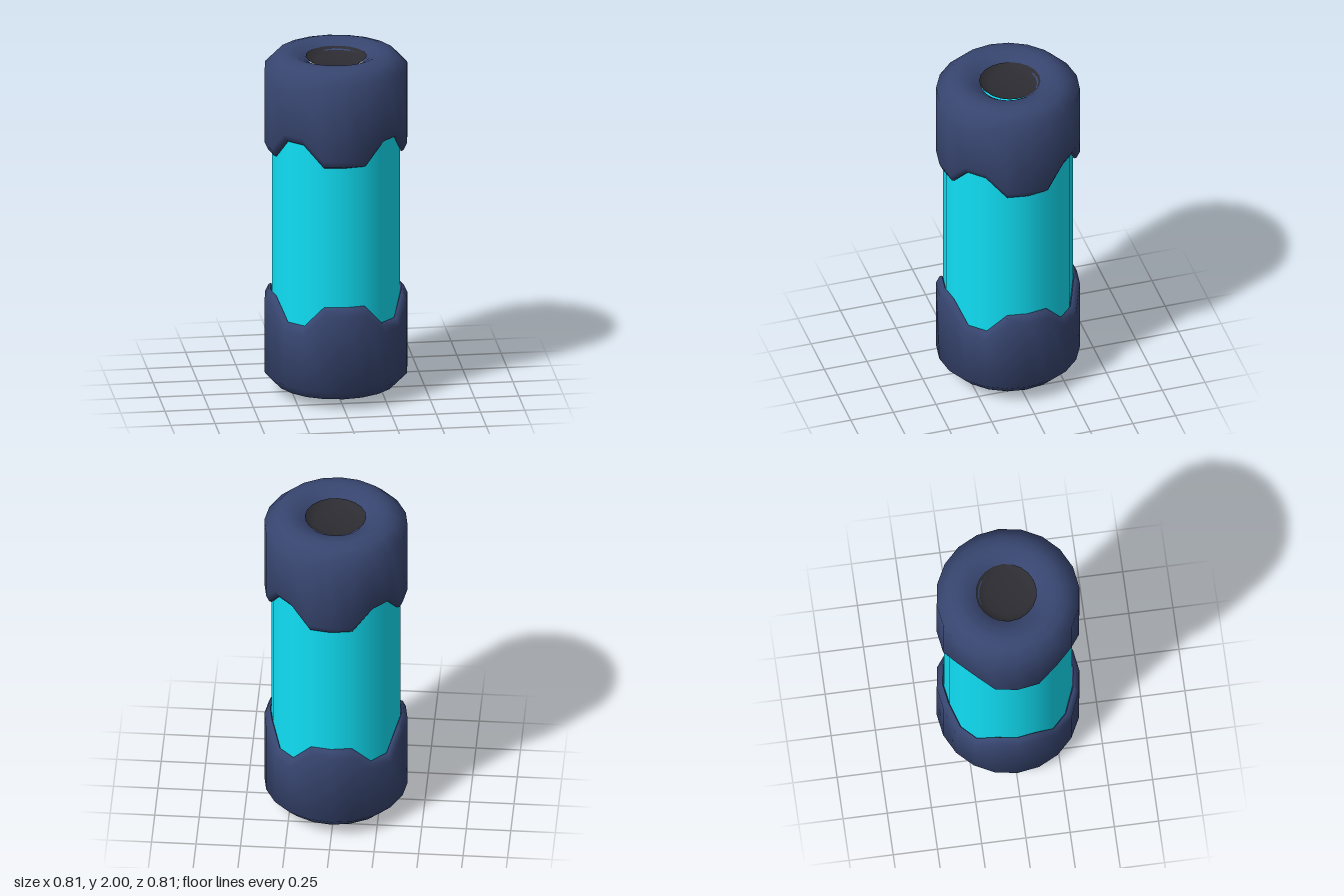
import * as THREE from 'three';
import { mergeVertices, toCreasedNormals } from 'three/addons/utils/BufferGeometryUtils.js';

const SIDES = 20;
const MID = 1.02; // height of the mirror plane between the two caps

const navy = new THREE.MeshStandardMaterial({ color: 0x37456f });
const cyan = new THREE.MeshStandardMaterial({ color: 0x10dff5 });
const dark = new THREE.MeshStandardMaterial({ color: 0x2c2c32 });

// Turned shape with smooth normals and an optional per-vertex rule
function turned(profile, rule) {
  const points = profile.map(([r, y]) => new THREE.Vector2(r, y));
  let geo = new THREE.LatheGeometry(points, SIDES);
  if (rule) {
    const pos = geo.attributes.position;
    for (let i = 0; i < pos.count; i++) {
      const row = i % profile.length;
      const side = Math.floor(i / profile.length);
      pos.setY(i, pos.getY(i) + rule(row, side));
    }
  }
  geo.deleteAttribute('normal');
  geo.deleteAttribute('uv');
  geo = mergeVertices(geo, 1e-4);
  return toCreasedNormals(geo, 1.0);
}

function addMesh(parent, name, geo, material) {
  const mesh = new THREE.Mesh(geo, material);
  mesh.name = name;
  parent.add(mesh);
  return mesh;
}

export function createModel() {
  const model = new THREE.Group();
  model.name = 'canister';

  // Glowing middle tube
  const tube = addMesh(model, 'tube', new THREE.CylinderGeometry(0.363, 0.363, 1.3, SIDES), cyan);
  tube.position.y = MID;

  // Cap: bevelled lip, straight wall, rounded shoulder, dished end
  const capProfile = [
    [0.355, 0.45], [0.37, 0.412], [0.385, 0.42], [0.403, 0.46],
    [0.403, 0.9], [0.34, 0.964], [0.29, 0.98], [0.24, 0.976], [0.19, 0.955], [0.15, 0.925],
  ];
  // The lip is notched upward on the four diagonals (sides 2 and 3 of every 5)
  const notch = (row, side) => (row < 4 && [2, 3].includes(side % 5) ? 0.122 : 0);
  const capGeo = turned(capProfile, notch);

  const topCap = addMesh(model, 'topCap', capGeo, navy);
  topCap.position.y = MID;
  const bottomCap = addMesh(model, 'bottomCap', capGeo, navy);
  bottomCap.position.y = MID;
  bottomCap.rotation.x = Math.PI;

  // Shallow dark socket in the top
  const socket = addMesh(model, 'topSocket', turned([
    [0.172, 1.972], [0.155, 1.955], [0.12, 1.945], [0, 1.942],
  ]), dark);
  socket.position.set(0.002, 0, -0.01);

  // Dark contact standing out of the bottom
  addMesh(model, 'bottomContact', turned([
    [0, 0], [0.165, 0], [0.2, 0.035], [0.2, 0.1],
  ]), dark);

  return model;
}
